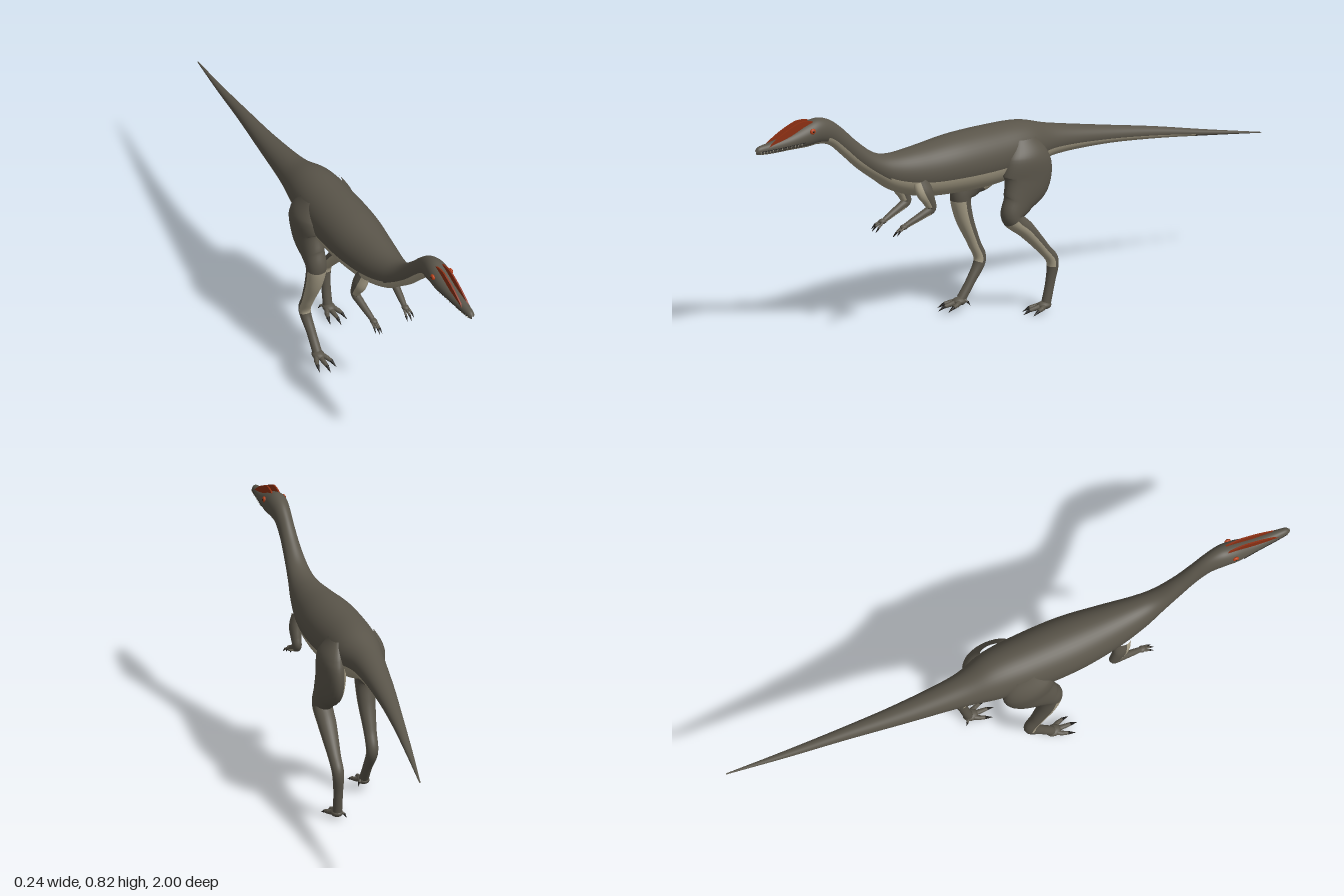
import * as THREE from 'three';

const mat = (name, color, side = THREE.FrontSide) => {
  const m = new THREE.MeshStandardMaterial({ color, side });
  m.name = name;
  return m;
};

export function createModel() {
  const model = new THREE.Group();
  const hide = mat('dark hide', 0x5a554a);
  const belly = mat('pale underside', 0xa69d86);
  const red = mat('crest red', 0x8c2f12, THREE.DoubleSide);
  const orange = mat('eye orange', 0xb8431c);
  const black = mat('claw black', 0x1d1b18);
  const ivory = mat('tooth ivory', 0xc9c2ac);

  const add = (name, geo, material, parent = model) => {
    const mesh = new THREE.Mesh(geo, material);
    mesh.name = name;
    parent.add(mesh);
    return mesh;
  };

  // Smooth tube through stations [x, y, z, halfWidth, halfDepth];
  // isPale(point, c, s) picks the faces of the pale underside.
  function loft(stations, steps, segs, upright, isPale) {
    const path = new THREE.CatmullRomCurve3(stations.map(s => new THREE.Vector3(s[0], s[1], s[2])), false, 'catmullrom', 0.5);
    const size = new THREE.CatmullRomCurve3(stations.map(s => new THREE.Vector3(s[3], s[4], 0)), false, 'catmullrom', 0.5);
    const pos = [], dark = [], pale = [];
    for (let i = 0; i <= steps; i++) {
      const p = path.getPoint(i / steps), r = size.getPoint(i / steps), t = path.getTangent(i / steps);
      const n = upright ? new THREE.Vector3(0, 1, 0) : new THREE.Vector3(0, -t.z, t.y).normalize();
      for (let j = 0; j < segs; j++) {
        const a = j / segs * Math.PI * 2, c = Math.cos(a), s = Math.sin(a);
        const w = Math.max(r.x, 0.001), d = Math.max(r.y, 0.001);
        pos.push(p.x + w * c, p.y + n.y * d * s, p.z + n.z * d * s);
        if (i === steps) continue;
        const k = i * segs, j2 = (j + 1) % segs, m = a + Math.PI / segs;
        (isPale(p, Math.cos(m), Math.sin(m)) ? pale : dark).push(
          k + j, k + segs + j, k + j2, k + j2, k + segs + j, k + segs + j2);
      }
    }
    const geo = new THREE.BufferGeometry();
    geo.setAttribute('position', new THREE.Float32BufferAttribute(pos, 3));
    geo.setIndex([...dark, ...pale]);
    geo.addGroup(0, dark.length, 0);
    geo.addGroup(dark.length, pale.length, 1);
    geo.computeVertexNormals();
    return geo;
  }

  // Tapered rod between two points
  function rod(name, a, b, ra, rb, material, parent) {
    const from = new THREE.Vector3(...a), to = new THREE.Vector3(...b), dir = to.clone().sub(from);
    const mesh = add(name, new THREE.CylinderGeometry(rb, ra, dir.length(), 10), material, parent);
    mesh.position.copy(from).add(to).multiplyScalar(0.5);
    mesh.quaternion.setFromUnitVectors(new THREE.Vector3(0, 1, 0), dir.normalize());
  }

  function ball(name, p, sx, sy, sz, material, parent) {
    const mesh = add(name, new THREE.SphereGeometry(1, 16, 10), material, parent);
    mesh.position.set(...p);
    mesh.scale.set(sx, sy, sz);
  }

  // Head, neck, trunk and tail: [x, z, top, bottom, halfWidth]
  const profile = [
    [0, 1, 0.75, 0.74, 0.004], [0, 0.985, 0.763, 0.735, 0.012], [0, 0.94, 0.77, 0.731, 0.018],
    [0, 0.87, 0.783, 0.73, 0.026], [0, 0.8, 0.808, 0.728, 0.036], [0, 0.75, 0.818, 0.729, 0.035],
    [0, 0.7, 0.803, 0.715, 0.029], [0, 0.65, 0.765, 0.672, 0.027], [0, 0.59, 0.708, 0.615, 0.031],
    [0, 0.52, 0.655, 0.56, 0.041], [0, 0.45, 0.637, 0.51, 0.056], [0, 0.34, 0.642, 0.47, 0.077],
    [0, 0.2, 0.655, 0.455, 0.094], [0, 0.05, 0.657, 0.455, 0.094], [0, -0.08, 0.65, 0.475, 0.082],
    [-0.005, -0.2, 0.615, 0.505, 0.055], [0.008, -0.4, 0.573, 0.508, 0.036],
    [0.03, -0.6, 0.535, 0.494, 0.022], [0.055, -0.8, 0.492, 0.472, 0.012], [0.083, -1, 0.452, 0.449, 0.002],
  ];
  add('body', loft(profile.map(([x, z, t, b, w]) => [x, (t + b) / 2, z, w, (t - b) / 2]), 152, 48, true,
    (p, c, s) => p.z > -0.75 && s < (p.z > 0.72 ? -0.75 : p.z > 0.48 ? -0.38 : -0.25)), [hide, belly]);

  // Twin crests, drawn as (z, y) side profiles
  const crest = new THREE.Shape();
  crest.moveTo(0.955, 0.757);
  crest.quadraticCurveTo(0.9, 0.798, 0.83, 0.819);
  crest.quadraticCurveTo(0.78, 0.825, 0.755, 0.8);
  crest.lineTo(0.8, 0.775);
  crest.lineTo(0.955, 0.757);
  for (const side of [1, -1]) {
    const geo = new THREE.ExtrudeGeometry(crest, { depth: 0.005, bevelEnabled: false, curveSegments: 12 });
    geo.rotateY(-Math.PI / 2).translate(side * 0.012 + 0.0025, 0, 0);
    add('crest', geo, red);

    // Eyes, mouth line and teeth
    ball('eye', [side * 0.034, 0.787, 0.79], 0.006, 0.01, 0.011, orange);
    ball('pupil', [side * 0.038, 0.787, 0.79], 0.0035, 0.004, 0.004, black);
    const lip = new THREE.CatmullRomCurve3([[0.0125, 0.747, 0.985], [0.0185, 0.748, 0.94], [0.0258, 0.75, 0.87], [0.0327, 0.753, 0.82]]
      .map(([x, y, z]) => new THREE.Vector3(side * x, y, z)));
    add('mouthLine', new THREE.TubeGeometry(lip, 16, 0.0015, 5), black);
    for (let i = 0; i < 12; i++) {
      const p = lip.getPoint(i / 12);
      rod('tooth', [p.x, p.y, p.z], [p.x, p.y - 0.008, p.z], 0.0022, 0.0003, ivory);
    }
  }

  // Hind legs in mid-stride: [x, y, z, halfWidth, halfDepth]
  const leftLeg = [
    [0.066, 0.61, -0.05, 0.018, 0.04], [0.078, 0.55, -0.05, 0.041, 0.085], [0.08, 0.47, -0.045, 0.041, 0.096],
    [0.085, 0.405, -0.008, 0.036, 0.06], [0.087, 0.355, 0.018, 0.034, 0.036], [0.088, 0.3, -0.04, 0.031, 0.029],
    [0.088, 0.22, -0.112, 0.022, 0.021], [0.087, 0.172, -0.147, 0.02, 0.021], [0.084, 0.1, -0.14, 0.016, 0.016],
    [0.082, 0.03, -0.125, 0.016, 0.016],
  ];
  const rightLeg = [
    [-0.066, 0.61, 0.01, 0.018, 0.04], [-0.078, 0.55, 0.015, 0.041, 0.085], [-0.08, 0.485, 0.03, 0.041, 0.088],
    [-0.085, 0.435, 0.075, 0.036, 0.056], [-0.087, 0.395, 0.1, 0.034, 0.037], [-0.088, 0.32, 0.085, 0.03, 0.03],
    [-0.088, 0.23, 0.047, 0.022, 0.022], [-0.087, 0.165, 0.022, 0.02, 0.021], [-0.084, 0.1, 0.06, 0.016, 0.016],
    [-0.084, 0.043, 0.1, 0.016, 0.016],
  ];
  for (const [side, leg] of [[1, leftLeg], [-1, rightLeg]]) {
    const group = new THREE.Group();
    group.name = side > 0 ? 'leftLeg' : 'rightLeg';
    model.add(group);
    const knee = leg[4][1];
    add('leg', loft(leg, 72, 28, false, (p, c, s) =>
      (p.y < knee - 0.005 && p.y > 0.16 && s < -0.1) ||
      (p.y > knee + 0.06 && p.y < 0.56 && side * c < -0.35)), [hide, belly], group);

    // Foot with three toes and a small rear toe
    const [x, y, z] = leg[9];
    ball('foot', [x, y - 0.007, z + 0.008], 0.021, 0.014, 0.026, hide, group);
    for (const k of [-1, 0, 1]) {
      const reach = k ? 0.05 : 0.068, mid = [x + k * 0.02, y - 0.012, z + reach * 0.65];
      const tip = [x + k * 0.026, y - 0.015, z + reach];
      rod('toe', [x + k * 0.008, y - 0.007, z + 0.01], mid, 0.01, 0.008, hide, group);
      ball('toeJoint', mid, 0.008, 0.008, 0.009, hide, group);
      rod('toe', mid, tip, 0.008, 0.006, hide, group);
      rod('claw', tip, [tip[0] + k * 0.005, y - 0.026, tip[2] + 0.024], 0.006, 0.0005, black, group);
    }
    const spur = [x - side * 0.02, y - 0.008, z - 0.012];
    rod('rearToe', [x - side * 0.008, y, z], spur, 0.006, 0.004, hide, group);
    rod('claw', spur, [spur[0] - side * 0.006, y - 0.02, spur[2] - 0.006], 0.004, 0.0005, black, group);
  }

  // Arms, the right one hanging slightly lower
  for (const side of [1, -1]) {
    const group = new THREE.Group();
    group.name = side > 0 ? 'leftArm' : 'rightArm';
    group.position.y = side > 0 ? 0.004 : -0.008;
    model.add(group);
    const arm = [[0.058, 0.54, 0.37, 0.016, 0.03], [0.068, 0.5, 0.36, 0.02, 0.03], [0.071, 0.465, 0.343, 0.017, 0.022],
      [0.07, 0.438, 0.335, 0.015, 0.017], [0.067, 0.422, 0.365, 0.013, 0.014], [0.063, 0.405, 0.405, 0.011, 0.011],
      [0.06, 0.393, 0.432, 0.009, 0.009]];
    add('arm', loft(arm.map(([x, ...r]) => [side * x, ...r]), 40, 20, false,
      (p, c, s) => p.y > 0.45 ? s < -0.2 : p.z > 0.345 && s > 0.25), [hide, belly], group);
    ball('hand', [side * 0.06, 0.391, 0.438], 0.012, 0.009, 0.015, hide, group);
    for (const k of [-1, 0, 1]) {
      const x = side * 0.06 + k * 0.01, tip = [x, 0.378 + k * side * 0.004, 0.467 - Math.abs(k) * 0.006];
      rod('finger', [side * 0.06 + k * 0.006, 0.391, 0.44], tip, 0.005, 0.0035, hide, group);
      rod('claw', tip, [x + k * 0.002, tip[1] - 0.014, tip[2] + 0.014], 0.0038, 0.0004, black, group);
    }
  }
  return model;
}
